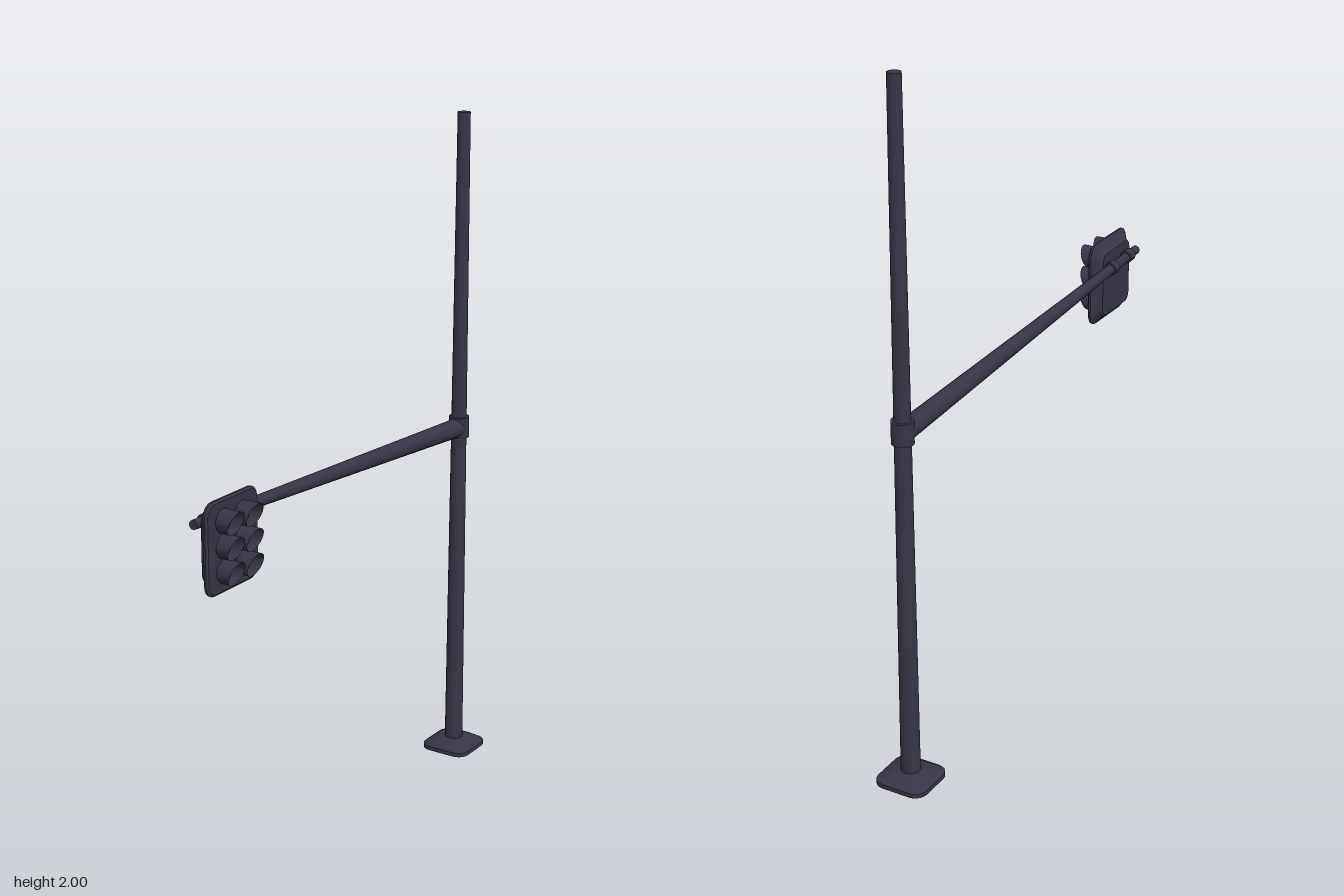
import * as THREE from 'three';
import { toCreasedNormals } from 'three/addons/utils/BufferGeometryUtils.js';

const POLE_X = -0.017;
const POLE_Z = -0.627;

// Rounded-rectangle cross-sections [offset, halfWidth, halfHeight, radius] joined along +z, capped at both ends
function loft(levels, steps = 5) {
  const pos = [];
  const index = [];
  const n = 4 * (steps + 1);
  for (const [z, w, h, r] of levels) {
    for (let c = 0; c < 4; c++) {
      const sx = c === 0 || c === 3 ? 1 : -1;
      const sy = c < 2 ? 1 : -1;
      for (let s = 0; s <= steps; s++) {
        const a = (c + s / steps) * Math.PI / 2;
        pos.push(sx * (w - r) + r * Math.cos(a), sy * (h - r) + r * Math.sin(a), z);
      }
    }
  }
  const last = (levels.length - 1) * n;
  const back = levels.length * n;
  pos.push(0, 0, levels[0][0], 0, 0, levels[levels.length - 1][0]);
  for (let i = 0; i < n; i++) {
    const j = (i + 1) % n;
    for (let k = 0; k < last; k += n) {
      index.push(k + i, k + j, k + n + j, k + i, k + n + j, k + n + i);
    }
    index.push(back, j, i, back + 1, last + i, last + j);
  }
  const geo = new THREE.BufferGeometry();
  geo.setAttribute('position', new THREE.Float32BufferAttribute(pos, 3));
  geo.setIndex(index);
  return toCreasedNormals(geo, 0.5);
}

export function createModel() {
  const model = new THREE.Group();
  const material = (name, color, side = THREE.FrontSide) => {
    const m = new THREE.MeshStandardMaterial({ color, side });
    m.name = name;
    return m;
  };
  const metal = material('dark metal', 0x383647, THREE.DoubleSide);
  const red = material('red lens', 0xe23f58);
  const amber = material('amber lens', 0xdc9138);
  const white = material('white lens', 0xc4c4bc);

  const add = (name, geo, mat, x, y, z, parent = model) => {
    const mesh = new THREE.Mesh(geo, mat);
    mesh.name = name;
    mesh.position.set(x, y, z);
    parent.add(mesh);
    return mesh;
  };

  // Base foot with sloping shoulders
  const foot = loft([
    [0, 0.078, 0.078, 0.035],
    [0.013, 0.078, 0.078, 0.035],
    [0.028, 0.055, 0.055, 0.03],
    [0.034, 0.04, 0.04, 0.03],
  ]).rotateX(-Math.PI / 2);
  add('baseFoot', foot, metal, POLE_X, 0, POLE_Z);

  // Tapered pole and the collar that carries the arm
  add('pole', new THREE.CylinderGeometry(0.019, 0.028, 1.98, 16), metal, POLE_X, 1.01, POLE_Z);
  add('collar', new THREE.CylinderGeometry(0.031, 0.031, 0.064, 16), metal, POLE_X, 1.055, POLE_Z);

  // Tapered arm rising gently towards the signal
  const start = new THREE.Vector3(POLE_X, 1.053, POLE_Z + 0.01);
  const end = new THREE.Vector3(POLE_X, 1.12, 0.688);
  const along = end.clone().sub(start);
  const tilt = new THREE.Quaternion().setFromUnitVectors(new THREE.Vector3(0, 1, 0), along.clone().normalize());
  const armGeo = new THREE.CylinderGeometry(0.013, 0.029, along.length(), 16);
  const middle = start.clone().lerp(end, 0.5);
  add('arm', armGeo, metal, middle.x, middle.y, middle.z).quaternion.copy(tilt);

  // Clamps holding the signal on the arm
  for (const z of [0.535, 0.635]) {
    const p = start.clone().lerp(end, (z - start.z) / along.z);
    add('clamp', new THREE.CylinderGeometry(0.019, 0.019, 0.028, 16), metal, p.x, p.y, z).quaternion.copy(tilt);
  }

  // Signal head facing +x
  const signal = new THREE.Group();
  signal.name = 'signalHead';
  signal.position.set(0, 1.058, 0.593);
  model.add(signal);
  const housing = loft([
    [0, 0.085, 0.098, 0.025],
    [0.012, 0.092, 0.105, 0.028],
    [0.027, 0.112, 0.127, 0.034],
    [0.033, 0.112, 0.127, 0.034],
    [0.038, 0.106, 0.121, 0.03],
  ]).rotateY(Math.PI / 2);
  add('housing', housing, metal, 0, 0, 0, signal);

  // Visor tube, longer over the top than underneath
  const R = 0.033;
  const visor = new THREE.CylinderGeometry(R, R, 0.053, 24, 1, true).rotateZ(-Math.PI / 2).translate(0.0265, 0, 0);
  const vp = visor.attributes.position;
  for (let i = 0; i < vp.count; i++) {
    if (vp.getX(i) > 0.02) vp.setX(i, 0.041 + 0.012 * vp.getY(i) / R);
  }
  visor.computeVertexNormals();

  // Shallow domed lens
  const lens = new THREE.SphereGeometry(0.031, 24, 6, 0, Math.PI * 2, 0, Math.PI / 2)
    .scale(1, 0.25, 1).rotateZ(-Math.PI / 2);

  [red, amber, white].forEach((mat, row) => {
    for (const side of [-1, 1]) {
      const y = 0.068 - 0.068 * row;
      add('visor', visor, metal, 0.037, y, side * 0.041, signal);
      add('lens', lens, mat, 0.038, y, side * 0.041, signal);
    }
  });

  return model;
}
